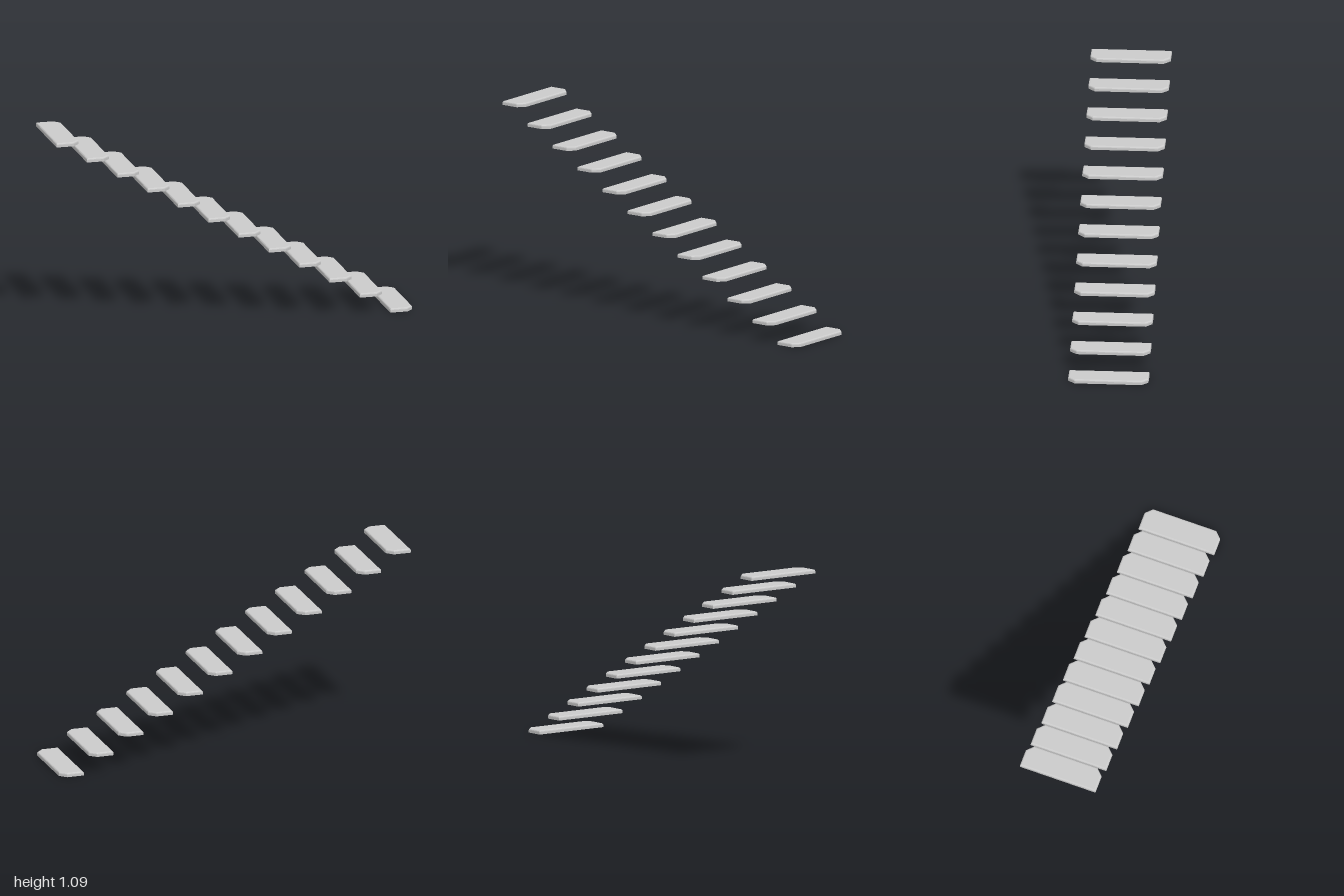
import * as THREE from 'three';

const COUNT = 12;
const HALF_W = 0.066, HALF_D = 0.218, HEIGHT = 0.022;
const CHAMFER = 0.036, BEVEL = 0.009;

// Tread outline with two clipped front corners, shrunk evenly by an inset
function outline(inset, y) {
  const w = HALF_W - inset, d = HALF_D - inset;
  const c = CHAMFER - inset * (2 - Math.SQRT2);
  return [[-w, d], [w - c, d], [w, d - c], [w, c - d], [w - c, -d], [-w, -d]]
    .map(([x, z]) => [x, y, z]);
}

// Thin shell, open underneath, with a rounded upper rim
function treadGeometry() {
  const rings = [outline(0, 0)];
  const segments = 3;
  for (let i = 0; i <= segments; i++) {
    const a = (i / segments) * Math.PI / 2;
    rings.push(outline(BEVEL * (1 - Math.cos(a)), HEIGHT - BEVEL * (1 - Math.sin(a))));
  }
  const pos = [];
  for (let r = 0; r < rings.length - 1; r++) {
    const low = rings[r], high = rings[r + 1];
    for (let i = 0; i < low.length; i++) {
      const j = (i + 1) % low.length;
      pos.push(...low[i], ...low[j], ...high[j], ...low[i], ...high[j], ...high[i]);
    }
  }
  const top = rings[rings.length - 1];
  for (let i = 1; i < top.length - 1; i++) pos.push(...top[0], ...top[i], ...top[i + 1]);
  const geometry = new THREE.BufferGeometry();
  geometry.setAttribute('position', new THREE.Float32BufferAttribute(pos, 3));
  geometry.computeVertexNormals();
  return geometry;
}

export function createModel() {
  const stairs = new THREE.Group();
  stairs.name = 'floatingStairs';
  const geometry = treadGeometry();
  const material = new THREE.MeshStandardMaterial({
    color: 0xcccccc, flatShading: true, side: THREE.DoubleSide,
  });

  // Treads climb evenly from +x to -x
  const run = 2 * (1 - HALF_W) / (COUNT - 1);
  const rise = (1.09 - HEIGHT) / (COUNT - 1);
  for (let i = 0; i < COUNT; i++) {
    const tread = new THREE.Mesh(geometry, material);
    tread.name = `tread${i + 1}`;
    tread.position.set(1 - HALF_W - i * run, i * rise, 0);
    stairs.add(tread);
  }
  return stairs;
}
